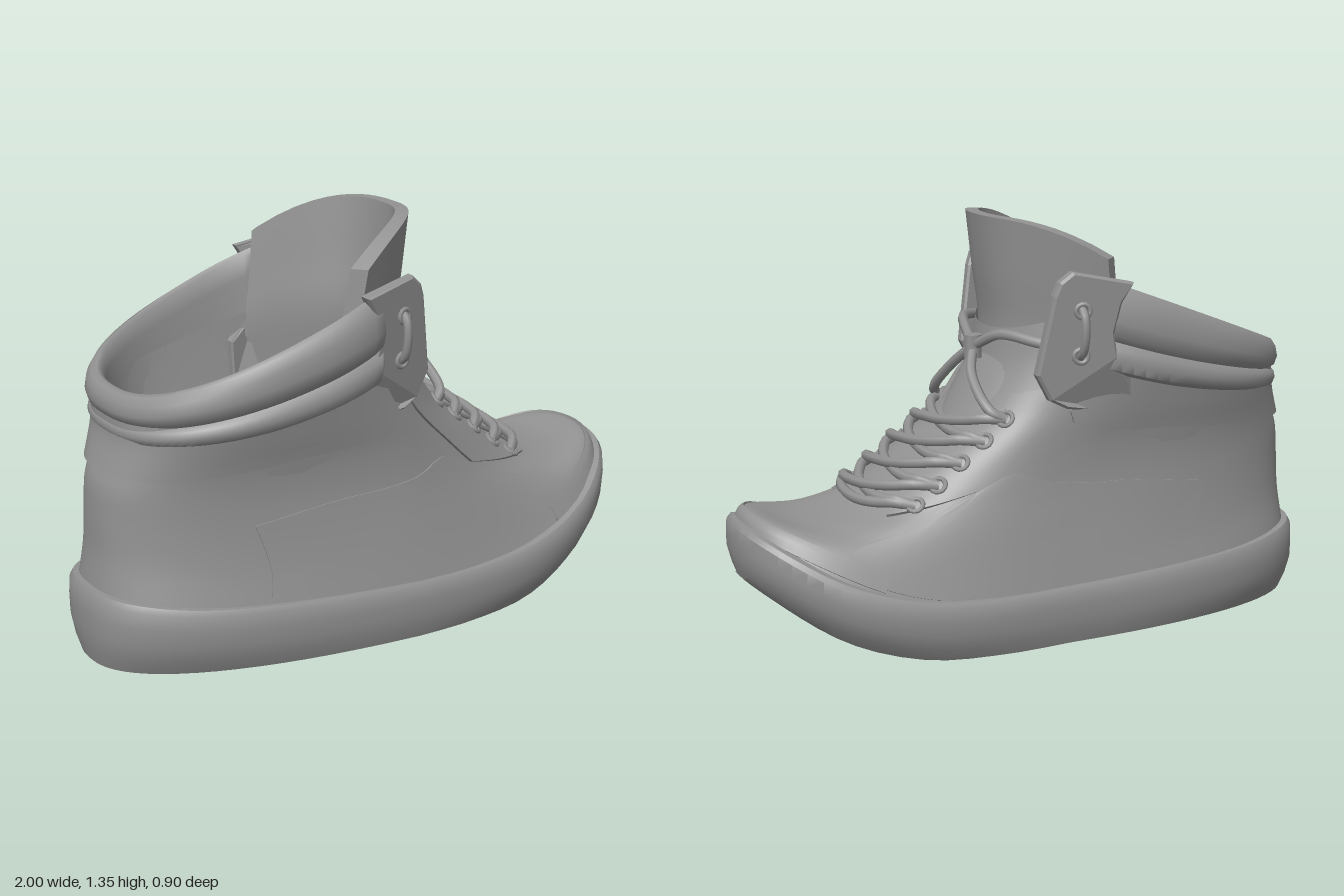
import * as THREE from 'three';
import { toCreasedNormals } from 'three/addons/utils/BufferGeometryUtils.js';

const material = new THREE.MeshStandardMaterial({ color: 0x929292, side: THREE.DoubleSide });
const V = (x, y, z) => new THREE.Vector3(x, y, z);
const lerp = THREE.MathUtils.lerp;
const range = (n, f) => Array.from({ length: n + 1 }, (_, i) => f(i / n));

// Catmull-Rom value of an evenly spaced list at f in 0..1
function at(a, f) {
  const n = a.length - 1, k = Math.max(0, Math.min(Math.floor(f * n), n - 1)), w = f * n - k;
  const p1 = a[k], p2 = a[k + 1];
  const p0 = k > 0 ? a[k - 1] : 2 * p1 - p2, p3 = k + 2 <= n ? a[k + 2] : 2 * p2 - p1;
  return p1 + 0.5 * w * (p2 - p0 + w * (2 * p0 - 5 * p1 + 4 * p2 - p3 + w * (3 * (p1 - p2) + p3 - p0)));
}

// Point on a squared-off ellipse, squarer at the heel and wider at the ball of the foot;
// height depends on the place between heel and toe
function ringPoint(t, xb, xf, w, n, ys) {
  const power = 2 / (Math.cos(t) < 0 ? n + 0.4 : n);
  const pw = v => Math.sign(v) * Math.abs(v) ** power;
  const u = (1 + pw(Math.cos(t))) / 2, x = lerp(xb, xf, u);
  return V(x, at(ys, u), w * (1 + 0.13 * x) * pw(Math.sin(t)) + 0.01 - 0.07 * Math.max(0, x));
}

// Surface through a stack of closed rings
function loft(rows, crease = 0.6) {
  const n = rows[0].length, index = [];
  for (let i = 0; i + 1 < rows.length; i++) {
    for (let j = 0; j < n; j++) {
      const a = i * n + j, b = i * n + (j + 1) % n;
      index.push(a, a + n, b, b, a + n, b + n);
    }
  }
  const g = new THREE.BufferGeometry();
  g.setAttribute('position', new THREE.Float32BufferAttribute(rows.flat().flatMap(p => p.toArray()), 3));
  g.setIndex(index);
  return toCreasedNormals(g, crease);
}

// Closed sheet between the faces f(u, v, 0) and f(u, v, 1)
function slab(f, nu, nv) {
  const row = (v, k0, k1) => [...range(nu, u => f(u, v, k1)), ...range(nu, u => f(1 - u, v, k0))];
  const rows = range(nv, v => row(v, 0, 1));
  return loft([row(0, 0.5, 0.5), ...rows, row(1, 0.5, 0.5)]);
}

// Upper, sole to ankle: back x, front x, half width, roundness, five heights heel to toe
const BODY = [
  [-0.97, 0.975, 0.405, 2.4, 0.24, 0.19, 0.17, 0.19, 0.41],
  [-0.955, 0.94, 0.382, 2.3, 0.36, 0.30, 0.28, 0.27, 0.455],
  [-0.95, 0.80, 0.36, 2.3, 0.47, 0.42, 0.40, 0.38, 0.425],
  [-0.94, 0.61, 0.345, 2.4, 0.57, 0.54, 0.52, 0.49, 0.45],
  [-0.915, 0.42, 0.347, 2.5, 0.64, 0.64, 0.64, 0.62, 0.57],
  [-0.885, 0.24, 0.368, 2.5, 0.73, 0.74, 0.75, 0.76, 0.70],
  [-0.88, 0.15, 0.395, 2.2, 0.80, 0.85, 0.90, 0.92, 0.84],
  [-0.86, 0.12, 0.41, 2.0, 0.86, 0.95, 1.02, 1.06, 0.98],
];
function bodyPoint(t, s) {
  const [xb, xf, w, n, ...ys] = BODY[0].map((_, k) => at(BODY.map(r => r[k]), s / 7));
  return ringPoint(t, xb, xf, w, n, ys);
}
function bodyNormal(t, s) {
  const e = 0.04;
  const up = bodyPoint(t, Math.min(s + e, 7)).sub(bodyPoint(t, Math.max(s - e, 0)));
  return up.cross(bodyPoint(t + e, s).sub(bodyPoint(t - e, s))).normalize();
}
const onBody = (t, s, off) => bodyPoint(t, s).addScaledVector(bodyNormal(t, s), off);
// Panel lying on the upper between the edges low(u) and high(u)
const panel = (t0, t1, low, high, off, nu = 16, nv = 8) => slab((u, v, k) =>
  onBody(lerp(t0, t1, u), lerp(low(u), high(u), v), lerp(-0.01, off, k)), nu, nv);

export function createModel() {
  const shoe = new THREE.Group();
  const add = (name, geometry, parent = shoe) => {
    const m = new THREE.Mesh(geometry, material);
    m.name = name;
    parent.add(m);
    return m;
  };
  const cord = (name, points, r = 0.017) =>
    add(name, new THREE.TubeGeometry(new THREE.CatmullRomCurve3(points), 28, r, 7, false));
  const TAU = Math.PI * 2, N = 72;
  const around = f => Array.from({ length: N }, (_, j) => f(j / N * TAU));
  const flatten = row => row.map(p => V(p.x, p.y, 0));

  // Sole with a rolled-up toe, rounder at the ground: [inset, height share, roundness]
  const low = [0, 0, 0, 0, 0, 0, 0.015, 0.09, 0.25];
  const high = [0.25, 0.22, 0.205, 0.195, 0.188, 0.188, 0.21, 0.285, 0.43];
  const soleRows = [[0.02, 0, 2.05], [0.008, 0.2, 2.25], [0, 0.45, 2.45], [0, 0.7, 2.5], [0.003, 0.92, 2.5],
    [0.014, 1, 2.5], [0.08, 1, 2.5]].map(([inset, h, n]) => around(t =>
    ringPoint(t, inset - 1, 1 - inset, 0.43 - inset, n, low.map((y, i) => lerp(y, high[i], h)))));
  add('sole', loft([flatten(soleRows[0]), ...soleRows]));

  // Upper, and the lining down to the floor inside
  add('upper', loft(range(35, f => around(t => bodyPoint(t, f * 7))), 1));
  const lining = range(6, f => around(t => ringPoint(t, lerp(-0.835, -0.86, f), lerp(0.07, 0.5, f),
    lerp(0.385, 0.29, f), 2.2, [lerp(0.8, 0.27, f), lerp(0.9, 0.25, f), lerp(1, 0.28, f)])));
  add('lining', loft([...lining, flatten(lining[6])]));

  // Panels on the upper
  add('toeGuard', panel(-0.95, 0.95, () => 0.15, () => 0.95, 0.006, 30, 5));
  add('ankleBand', panel(1.15, TAU - 1.15, u => 4.9 - 1.1 * Math.sqrt(Math.sin(u * Math.PI)), () => 5.9, 0.014, 48));
  for (const side of [1, -1]) {
    const mirrored = (a, b, lo, hi, off) => (side > 0 ? panel(a, b, lo, hi, off)
      : panel(-b, -a, u => lo(1 - u), u => hi(1 - u), off));
    add('eyestay', mirrored(side > 0 ? 0.4 : 0.56, 0.98, u => 2.75 + 0.5 * u, () => 5.5, 0.01));
    add('sidePanel', mirrored(0.75, 2.0, () => 0.3, u => at([1.7, 3.5, 3.1, 2.7, 2.3], u), 0.005));
  }

  // Padded collar: two rolls outside, thin rim, soft lining inside; [outward, height share]
  const pad = [[0, 0], [0.028, 0.05], [0.036, 0.17], [0.032, 0.29], [0.014, 0.36], [0.034, 0.44], [0.042, 0.6],
    [0.036, 0.8], [0.02, 0.96], [0.002, 1], [-0.012, 0.95], [-0.022, 0.7], [-0.032, 0.3], [-0.04, 0]];
  const collarRow = (t, k) => {
    const row = pad.map(([o, h]) => ringPoint(t, -0.865 - o, 0.115 + o, 0.42 + o, 2.1,
      [lerp(0.73, 0.885, h), lerp(0.81, 1.075, h), lerp(0.95, 1.26, h)]));
    const mid = row.reduce((m, p) => m.add(p), V(0, 0, 0)).divideScalar(row.length);
    return row.map(p => p.lerp(mid, k));
  };
  const c0 = 1.1, c1 = TAU - c0;
  add('collar', loft([collarRow(c0, 1), collarRow(c0, 0.25),
    ...range(52, f => collarRow(lerp(c0 + 0.03, c1 - 0.03, f), 0)), collarRow(c1, 0.25), collarRow(c1, 1)], 0.9));

  // Tongue with rounded upper corners
  add('tongue', slab((u, v, k) => {
    const p = u * 2 - 1, e = Math.abs(p), inner = (1 - k) * 0.04;
    const x = at([0.15, 0.115, 0.135, 0.155], v) - 0.31 * e ** 2.6 - inner;
    return V(x, lerp(0.78, 1.345 - 0.12 * e ** 4.5, v), p * (lerp(0.31, 0.35, v) - inner));
  }, 24, 12));

  // Ankle flaps sinking into the band, each with a short cord loop through two eyelets
  const outline = [[-0.27, 0.72], [-0.02, 0.765], [0.03, 0.79], [0.072, 0.87], [0.03, 1.12], [0.015, 1.16],
    [-0.02, 1.19], [-0.2, 1.155], [-0.165, 1.1], [-0.145, 1.0], [-0.16, 0.92], [-0.27, 0.85]];
  const flapZ = (x, y) => 0.388 + 0.09 * (y - 1) - 0.25 * (x + 0.2) - Math.max(0, -0.2 - x);
  for (const side of [1, -1]) {
    const flap = new THREE.Group();
    flap.name = side > 0 ? 'leftAnkleFlap' : 'rightAnkleFlap';
    flap.scale.z = side;
    shoe.add(flap);
    const shape = new THREE.Shape(outline.map(([x, y]) => new THREE.Vector2(x, y)));
    const g = new THREE.ExtrudeGeometry(shape, {
      depth: 0.025, bevelEnabled: true, bevelSize: 0.008, bevelThickness: 0.008, bevelSegments: 1 });
    const pos = g.attributes.position;
    for (let i = 0; i < pos.count; i++) pos.setZ(i, pos.getZ(i) + flapZ(pos.getX(i), pos.getY(i)));
    g.computeVertexNormals();
    add('flapPanel', g, flap);
    for (const y of [0.93, 1.075]) {
      const ring = add('flapEyelet', new THREE.TorusGeometry(0.022, 0.008, 6, 14), flap);
      ring.position.set(-0.05, y, flapZ(-0.05, y) + 0.035);
      ring.rotation.y = 0.25;
    }
    const loop = [[0.92, 0.02], [0.945, 0.05], [1.0, 0.062], [1.06, 0.05], [1.085, 0.02]]
      .map(([y, o]) => V(-0.05, y, flapZ(-0.05, y) + o));
    add('flapCord', new THREE.TubeGeometry(new THREE.CatmullRomCurve3(loop), 16, 0.014, 7), flap);
  }

  // Eyelets and criss-cross laces, set a little towards the inner side
  const edges = [-0.66, 0.5], holes = range(4, f => lerp(3.05, 4.95, f));
  const lace = (s0, s1, lift) => cord('lace', range(8, f => {
    const p = f * 2 - 1;
    return onBody(lerp(...edges, f), lerp(s0, s1, f), Math.abs(p) > 0.99 ? 0.005 : 0.03 + lift * (1 - p * p));
  }));
  holes.forEach((s, i) => {
    for (const t of edges) {
      const ring = add('eyelet', new THREE.TorusGeometry(0.024, 0.008, 6, 14));
      ring.position.copy(onBody(t, s, 0.012));
      ring.quaternion.setFromUnitVectors(V(0, 0, 1), bodyNormal(t, s));
    }
    if (i === 0) lace(s, s, -0.01);
    else {
      lace(holes[i - 1], s, -0.01);
      lace(s, holes[i - 1], 0.012);
    }
  });

  // Upper laces meeting in a knot
  const knot = V(0.175, 0.92, -0.035);
  const ball = add('knot', new THREE.CylinderGeometry(0.03, 0.03, 0.075, 8));
  ball.position.copy(knot);
  for (const t of edges) {
    const side = Math.sign(t);
    cord('upperLace', [V(-0.01, 0.95, side * 0.35), V(0.06, 0.965, side * 0.28), V(0.13, 0.975, side * 0.16), knot]);
    cord('crossLace', [knot, V(0.21, 0.84, side * 0.09 - 0.02), onBody(t * 0.8, 5.05, 0.04), onBody(t, 4.95, 0.005)]);
  }
  return shoe;
}
